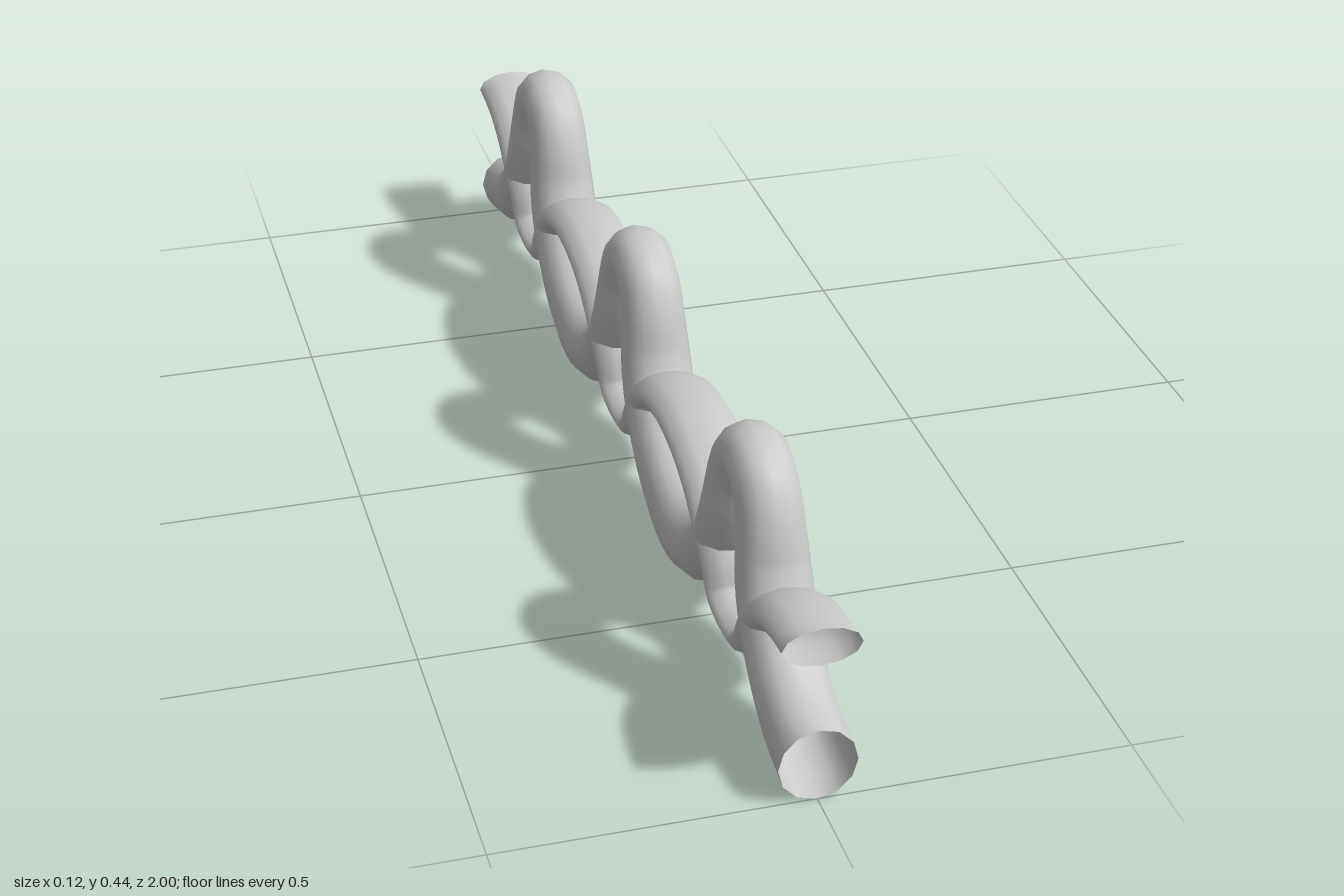
import * as THREE from 'three';

const PITCH = 2 / 3;
const SIDES = 12;

// Half a repeat of each strand: [offset from loop centre, height, in-plane radius, sideways radius]
const ROUND = [
  [0, 0.394, 0.050, 0.053], [0.047, 0.375, 0.049, 0.053], [0.078, 0.32, 0.046, 0.055],
  [0.092, 0.26, 0.047, 0.060], [0.118, 0.2, 0.050, 0.062], [0.165, 0.138, 0.054, 0.062],
  [0.24, 0.084, 0.060, 0.062], [0.3333, 0.062, 0.062, 0.062],
];
const FLAT = [
  [0, 0.094, 0.023, 0.055], [0.06, 0.105, 0.026, 0.056], [0.092, 0.148, 0.034, 0.058],
  [0.135, 0.2, 0.034, 0.061], [0.185, 0.238, 0.033, 0.062], [0.25, 0.262, 0.032, 0.062],
  [0.3333, 0.272, 0.032, 0.062],
];

// Mirrors and repeats the half profile along z from -1 to 1
function repeatProfile(half) {
  const rows = [];
  for (let unit = -1; unit <= 1; unit++) {
    const z = unit * PITCH;
    const back = half.slice(1).reverse().map(([s, ...rest]) => [z - s, ...rest]);
    const front = half.map(([s, ...rest]) => [z + s, ...rest]);
    const all = [...back, ...front];
    rows.push(...(unit > -1 ? all.slice(1) : all));
  }
  return rows;
}

// Sweeps an elliptical section of changing size along the wave, open at both ends
function strandGeometry(half) {
  const rows = repeatProfile(half);
  const path = new THREE.CatmullRomCurve3(
    rows.map(([z, y]) => new THREE.Vector3(0, y, z)), false, 'catmullrom', 0.5);
  const size = new THREE.CatmullRomCurve3(
    rows.map(([, , rn, rx]) => new THREE.Vector3(rx, rn, 0)), false, 'catmullrom', 0.5);
  const steps = (rows.length - 1) * 3;
  const positions = [];
  const index = [];
  for (let i = 0; i <= steps; i++) {
    const p = path.getPoint(i / steps);
    const r = size.getPoint(i / steps);
    const t = path.getTangent(i / steps);
    if (i === 0 || i === steps) t.set(0, 0, 1);
    for (let j = 0; j < SIDES; j++) {
      const a = (j / SIDES) * Math.PI * 2;
      const n = Math.sin(a) * r.y;
      positions.push(Math.cos(a) * r.x, p.y + t.z * n, p.z - t.y * n);
      if (i < steps) {
        const k = (j + 1) % SIDES;
        const a0 = i * SIDES + j, b0 = i * SIDES + k;
        index.push(a0, b0, a0 + SIDES, b0, b0 + SIDES, a0 + SIDES);
      }
    }
  }
  const geometry = new THREE.BufferGeometry();
  geometry.setAttribute('position', new THREE.Float32BufferAttribute(positions, 3));
  geometry.setIndex(index);
  geometry.computeVertexNormals();
  return geometry;
}

export function createModel() {
  const group = new THREE.Group();
  group.name = 'twistedBorder';
  const material = new THREE.MeshStandardMaterial({ color: 0xcccccc, side: THREE.DoubleSide });

  // Thick strand: wide low arcs rising into tall loops
  const round = new THREE.Mesh(strandGeometry(ROUND), material);
  round.name = 'loopedStrand';

  // Flattened strand: shallow upper arches dipping into small cups under the loops
  const flat = new THREE.Mesh(strandGeometry(FLAT), material);
  flat.name = 'archedStrand';

  group.add(round, flat);
  return group;
}
